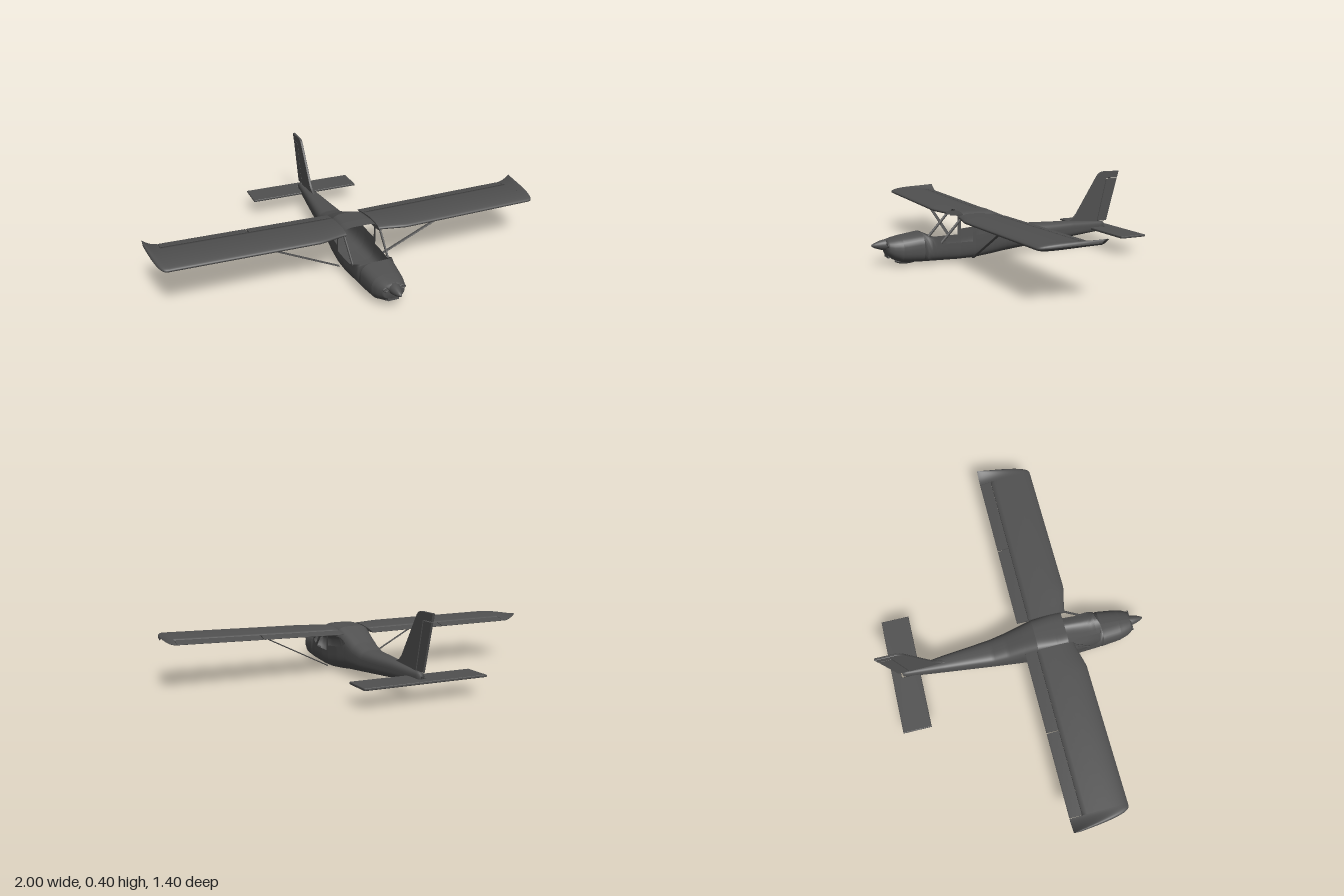
import * as THREE from 'three';

const grey = new THREE.MeshStandardMaterial({ color: 0x505050, side: THREE.DoubleSide });
grey.name = 'dark grey paint';

const part = (name, geometry) => {
  const m = new THREE.Mesh(geometry, grey);
  m.name = name;
  return m;
};

// linear lookup in rows [key, values...] with falling keys
function lookup(rows, key) {
  let i = 0;
  while (i < rows.length - 2 && key < rows[i + 1][0]) i++;
  const a = rows[i], b = rows[i + 1];
  const t = THREE.MathUtils.clamp((a[0] - key) / (a[0] - b[0]), 0, 1);
  return a.slice(1).map((v, k) => v + (b[k + 1] - v) * t);
}

// surface from rows of points
function surface(rows) {
  const n = rows[0].length, index = [];
  for (let u = 0; u < rows.length - 1; u++)
    for (let v = 0; v < n - 1; v++) {
      const a = u * n + v, b = a + 1, c = a + n, d = c + 1;
      index.push(a, c, b, b, c, d);
    }
  const g = new THREE.BufferGeometry();
  g.setAttribute('position', new THREE.Float32BufferAttribute(rows.flat(2), 3));
  g.setIndex(index);
  g.computeVertexNormals();
  return g;
}

// fuselage stations: z, half width, bottom, top, squareness
const HULL = [
  [0.632, 0.004, 0.09, 0.1, 2], [0.63, 0.052, 0.053, 0.126, 2.3], [0.6, 0.069, 0.03, 0.134, 2.4],
  [0.56, 0.08, 0.014, 0.141, 2.6], [0.46, 0.09, 0.01, 0.153, 3], [0.37, 0.095, 0.01, 0.21, 4],
  [0.28, 0.1, 0.01, 0.242, 5], [0.2, 0.1, 0.011, 0.245, 5], [0.1, 0.095, 0.018, 0.242, 4],
  [0.04, 0.088, 0.024, 0.216, 3.4], [-0.05, 0.078, 0.031, 0.175, 3], [-0.13, 0.068, 0.038, 0.15, 3],
  [-0.39, 0.04, 0.06, 0.142, 3], [-0.575, 0.019, 0.075, 0.129, 2.6], [-0.6, 0.016, 0.084, 0.127, 2.4],
  [-0.605, 0.003, 0.1, 0.11, 2],
];
// lower and upper edges of the cabin openings: z, y
const SILL = [[0.46, 0.153], [0.37, 0.11], [0.35, 0.101], [0.216, 0.101], [0.2, 0.13], [0.07, 0.142],
  [0.035, 0.152], [0.02, 0.166], [-0.05, 0.13], [-0.13, 0.11], [-0.605, 0.105]];
const HEAD = [[0.28, 0.207], [0.2, 0.196], [0.07, 0.19], [0.04, 0.179], [0.02, 0.166], [-0.05, 0.13],
  [-0.13, 0.11], [-0.605, 0.105]];

// half of a hull band between two heights, from z front to z back
function hullBand(front, back, low, high) {
  const keys = [...HULL, ...SILL, ...HEAD].map(r => r[0]);
  for (let z = 0.62; z > -0.6; z -= 0.02) keys.push(z);
  const zs = [...new Set([front, back, ...keys.filter(z => z < front && z > back)])].sort((a, b) => b - a);
  const N = 18;
  return surface(zs.map(z => {
    const [w, bottom, top, n] = lookup(HULL, z);
    const mid = (top + bottom) / 2, half = (top - bottom) / 2;
    const angle = y => {
      const v = THREE.MathUtils.clamp((y - mid) / half, -1, 1);
      return Math.asin(Math.sign(v) * Math.abs(v) ** (n / 2));
    };
    const a = angle(low(z)), b = angle(high(z));
    return Array.from({ length: N + 1 }, (_, i) => {
      const t = a + (b - a) * i / N, s = Math.sin(t);
      return [w * Math.max(0, Math.cos(t)) ** (2 / n), mid + half * Math.sign(s) * Math.abs(s) ** (2 / n), z];
    });
  }));
}

// wing shape
const TIP = 0.93, TE = 0.03;
const tipU = x => Math.max(0, (x - TIP) / (1 - TIP));
const leadingEdge = x => 0.285 + 0.03 * THREE.MathUtils.clamp((x - 0.1) / 0.12, 0, 1) - 0.255 * tipU(x) ** 3;
function wingPoint(x, z, top) {
  const u = tipU(x), le = leadingEdge(x);
  const s = THREE.MathUtils.clamp((le - z) / (le - TE), 0, 1);
  const thick = 0.115 * (le - TE) * 5 * (0.2969 * Math.sqrt(s) - 0.126 * s - 0.3516 * s * s + 0.2843 * s ** 3 - 0.1036 * s ** 4) + 0.001;
  const line = 0.219 + 0.013 * x + 0.02 * s * (1 - s) - 0.009 * s + u * u * (0.01 + 0.023 * s);
  return [x, line + (top ? thick : -thick * (1 - 0.9 * u)), z];
}
// wing piece spanning x0..x1, cut at z front and z back
function wingPiece(x0, x1, front, back, steps) {
  const N = 20, rows = [];
  for (let i = 0; i <= steps; i++) {
    const x = x0 + (x1 - x0) * i / steps, f = Math.min(front, leadingEdge(x));
    const at = (t, top) => wingPoint(x, f + (back - f) * t * t, top);
    const row = [];
    for (let k = 0; k <= N; k++) row.push(at(k / N, true));
    for (let k = N; k >= 0; k--) row.push(at(k / N, false));
    row.push(row[0]);
    rows.push(row);
  }
  const cap = row => row.map((p, k) => {
    const q = row[Math.max(0, 2 * N + 1 - k)];
    return [p[0], (p[1] + q[1]) / 2, p[2]];
  });
  return surface([cap(rows[0]), rows[0], ...rows, rows[steps], cap(rows[steps])]);
}

// slender beam with elliptical section
function beam(name, a, b, rx, rz) {
  const p = new THREE.Vector3(...a), q = new THREE.Vector3(...b), d = q.clone().sub(p);
  const m = part(name, new THREE.CylinderGeometry(1, 1, 1, 12).scale(rx, d.length(), rz));
  m.position.copy(p).add(q).multiplyScalar(0.5);
  m.quaternion.setFromUnitVectors(new THREE.Vector3(0, 1, 0), d.normalize());
  return m;
}

// upright plate on the centre line, outline in (z, y)
const finPlate = (shape, th) => new THREE.ExtrudeGeometry(shape, { depth: th - 0.004, bevelThickness: 0.002, bevelSize: 0.001, bevelOffset: -0.001, bevelSegments: 1, curveSegments: 8 })
  .translate(0, 0, -th / 2 + 0.002).rotateY(-Math.PI / 2);

function buildSide(name) {
  const g = new THREE.Group();
  g.name = name;
  const sill = z => lookup(SILL, z)[0], head = z => lookup(HEAD, z)[0];
  g.add(
    part('lowerFuselage', hullBand(0.632, -0.605, () => -1, z => z >= 0.46 ? 1 : sill(z))),
    part('roofAndUpperFuselage', hullBand(0.26, -0.605, head, () => 1)),
    part('doorPillar', hullBand(0.217, 0.198, sill, head)),
    beam('windshieldPillar', [0.092, 0.106, 0.378], [0.094, 0.222, 0.27], 0.005, 0.007),
    part('wing', wingPiece(0.085, TIP, 1, 0.092, 30)),
    part('wingTip', wingPiece(TIP, 1, 1, TE, 14)),
    part('flap', wingPiece(0.085, 0.508, 0.09, TE, 10)),
    part('aileron', wingPiece(0.513, TIP - 0.002, 0.09, TE, 10)),
    beam('wingStrut', [0.096, 0.018, 0.214], [0.49, 0.216, 0.242], 0.003, 0.009),
  );
  // cooling inlet rim
  const inlet = part('coolingInlet', new THREE.TorusGeometry(0.011, 0.003, 8, 20).scale(1.2, 0.8, 1));
  inlet.position.set(0.041, 0.105, 0.63);
  g.add(inlet);
  return g;
}

export function createModel() {
  const model = new THREE.Group();
  model.name = 'highWingAeroplane';
  const left = buildSide('leftSide'), right = buildSide('rightSide');
  right.scale.x = -1;
  model.add(left, right);

  // spinner
  const cone = [[0, 0.07], [0.006, 0.066], [0.014, 0.05], [0.021, 0.03], [0.026, 0.01], [0.027, -0.005]];
  const spinner = part('spinner', new THREE.LatheGeometry(cone.map(p => new THREE.Vector2(...p)).reverse(), 28).rotateX(Math.PI / 2));
  spinner.position.set(0, 0.102, 0.629);
  model.add(spinner);

  // scoop under the cowl
  const scoop = part('chinScoop', new THREE.SphereGeometry(1, 24, 14).scale(0.032, 0.014, 0.055));
  scoop.position.set(0, 0.016, 0.53);
  const slot = part('lowerInlet', new THREE.BoxGeometry(0.055, 0.014, 0.03));
  slot.position.set(0, 0.047, 0.612);
  model.add(scoop, slot);

  // fin and rudder, split by a narrow gap
  const fin = new THREE.Shape();
  fin.moveTo(-0.36, 0.138);
  fin.quadraticCurveTo(-0.41, 0.148, -0.435, 0.183);
  fin.lineTo(-0.555, 0.37);
  fin.quadraticCurveTo(-0.572, 0.4, -0.6, 0.401);
  [[-0.698, 0.401], [-0.688, 0.364], [-0.618, 0.364], [-0.56, 0.12], [-0.38, 0.12]].forEach(p => fin.lineTo(...p));
  const rudder = new THREE.Shape([[-0.621, 0.361], [-0.687, 0.361], [-0.623, 0.13], [-0.566, 0.13]].map(p => new THREE.Vector2(...p)));
  model.add(part('fin', finPlate(fin, 0.012)), part('rudder', finPlate(rudder, 0.01)));

  // tailplane with a slot around the tail end
  const plan = new THREE.Shape([[-0.307, -0.517], [-0.307, -0.657], [0.307, -0.657], [0.307, -0.517]].map(p => new THREE.Vector2(...p)));
  const cut = new THREE.Path();
  cut.moveTo(-0.022, -0.615);
  cut.lineTo(-0.022, -0.56);
  cut.quadraticCurveTo(0, -0.53, 0.022, -0.56);
  cut.lineTo(0.022, -0.615);
  plan.holes.push(cut);
  const tail = new THREE.ExtrudeGeometry(plan, { depth: 0.004, bevelThickness: 0.004, bevelSize: 0.003, bevelSegments: 3 });
  const tailplane = part('tailplane', tail.translate(0, 0, -0.002).rotateX(Math.PI / 2));
  tailplane.position.y = 0.094;
  model.add(tailplane);
  return model;
}
